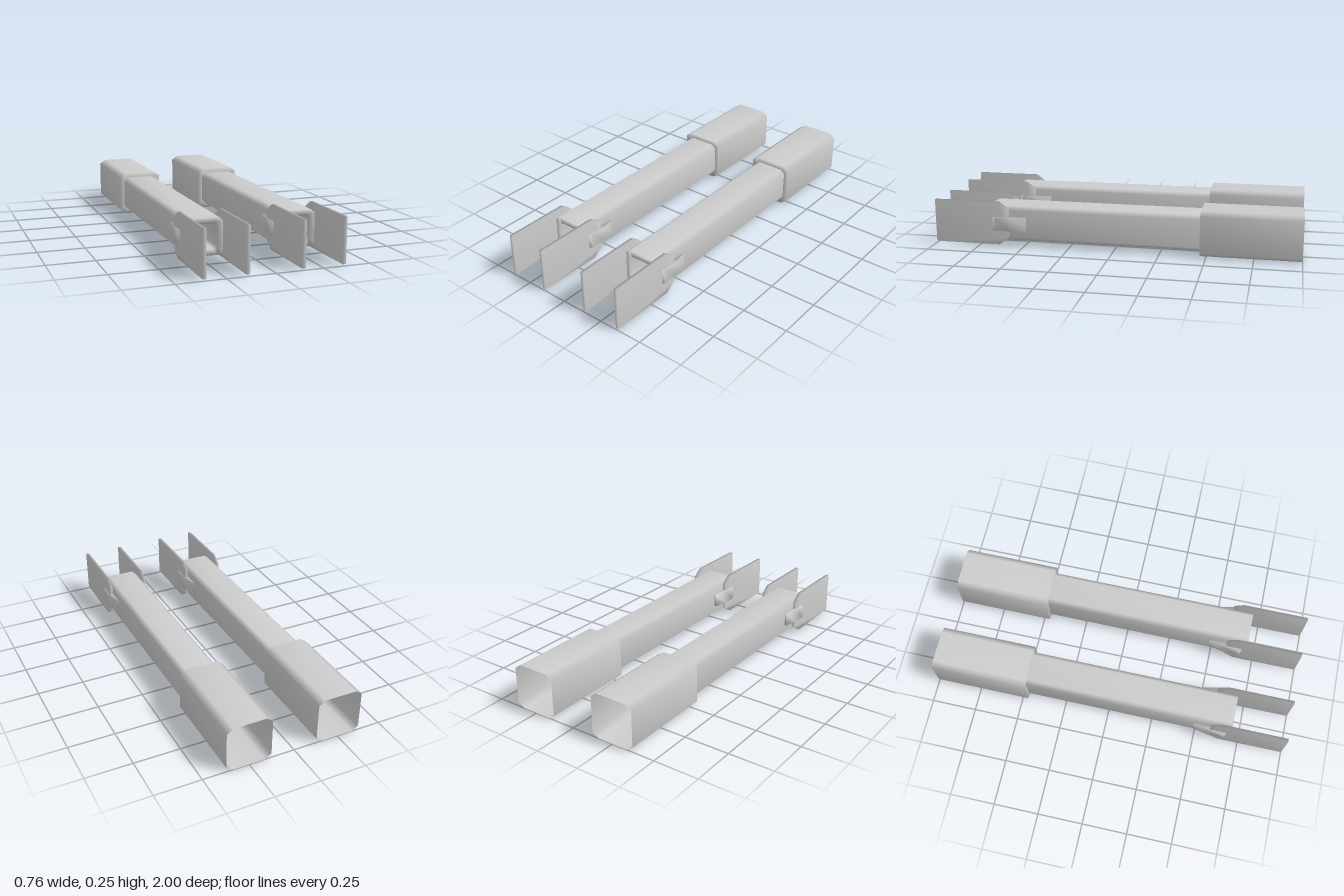
import * as THREE from 'three';
import { mergeVertices } from 'three/addons/utils/BufferGeometryUtils.js';

const CY = 0.125; // height of the tube axis
const material = new THREE.MeshStandardMaterial({ color: 0xcccccc, side: THREE.DoubleSide });

// Box section with cut corners, counter-clockwise seen from the front
function section(hw, hh, cx, cy) {
  return [[hw, -hh + cy], [hw, hh - cy], [hw - cx, hh], [-hw + cx, hh],
    [-hw, hh - cy], [-hw, -hh + cy], [-hw + cx, -hh], [hw - cx, -hh]];
}

// Skin through sections listed as [z, halfWidth, halfHeight, cutX, cutY], back to front
function loft(rings, capped) {
  const pos = [], index = [], n = 8;
  rings.forEach(([z, ...dims]) => section(...dims).forEach(([x, y]) => pos.push(x, y + CY, z)));
  for (let i = 0; i < rings.length - 1; i++) {
    for (let k = 0; k < n; k++) {
      const a = i * n + k, b = i * n + (k + 1) % n;
      index.push(a, b, b + n, a, b + n, a + n);
    }
  }
  if (capped) {
    const e = (rings.length - 1) * n;
    for (let k = 1; k < n - 1; k++) index.push(0, k + 1, k, e, e + k, e + k + 1);
  }
  const g = new THREE.BufferGeometry();
  g.setAttribute('position', new THREE.Float32BufferAttribute(pos, 3));
  g.setIndex(index);
  g.computeVertexNormals();
  return g;
}

// Extruded outline with soft, shared normals
function slab(points, depth) {
  const shape = new THREE.Shape(points.map(([x, y]) => new THREE.Vector2(x, y)));
  const raw = new THREE.ExtrudeGeometry(shape, { depth, bevelEnabled: false });
  raw.deleteAttribute('uv');
  raw.deleteAttribute('normal');
  const g = mergeVertices(raw, 1e-4);
  g.computeVertexNormals();
  return g;
}

function part(name, geometry, parent) {
  const mesh = new THREE.Mesh(geometry, material);
  mesh.name = name;
  parent.add(mesh);
  return mesh;
}

function createArm(name) {
  const arm = new THREE.Group();
  arm.name = name;

  // Long tube with a lip and a recessed opening at the front
  part('tube', loft([
    [-0.467, 0.098, 0.097, 0.024, 0.02],
    [0.695, 0.098, 0.097, 0.024, 0.02],
    [0.695, 0.066, 0.066, 0.018, 0.014],
    [0.45, 0.066, 0.066, 0.018, 0.014],
  ], true), arm);

  // Wider sleeve, open at the back, with a shoulder around the tube
  part('sleeve', loft([
    [-1, 0.123, 0.124, 0.035, 0.024],
    [-0.467, 0.123, 0.124, 0.035, 0.024],
    [-0.467, 0.097, 0.096, 0.024, 0.02],
  ], false), arm);

  for (const side of [-1, 1]) {
    const label = side > 0 ? 'left' : 'right';

    // Thin jaw plate with cut rear corners
    const plate = slab([[1, 0.01], [1, 0.248], [0.635, 0.248], [0.58, 0.208],
      [0.58, 0.05], [0.635, 0.01]], 0.018);
    plate.rotateY(-Math.PI / 2);
    plate.translate(side * 0.108 + 0.009, 0, 0);
    part(label + 'JawPlate', plate, arm);

    // Wedge bracket holding the plate to the tube
    const bracket = slab([[0.094, 0.485], [0.108, 0.485], [0.128, 0.57], [0.128, 0.65],
      [0.118, 0.67], [0.094, 0.67]].map(([x, z]) => [side * x, z]), 0.075);
    bracket.rotateX(Math.PI / 2);
    bracket.translate(0, 0.165, 0);
    part(label + 'Bracket', bracket, arm);
  }
  return arm;
}

export function createModel() {
  const model = new THREE.Group();
  model.name = 'pairOfArms';
  for (const side of [-1, 1]) {
    const arm = createArm(side > 0 ? 'leftArm' : 'rightArm');
    arm.position.x = side * 0.251;
    model.add(arm);
  }
  return model;
}
